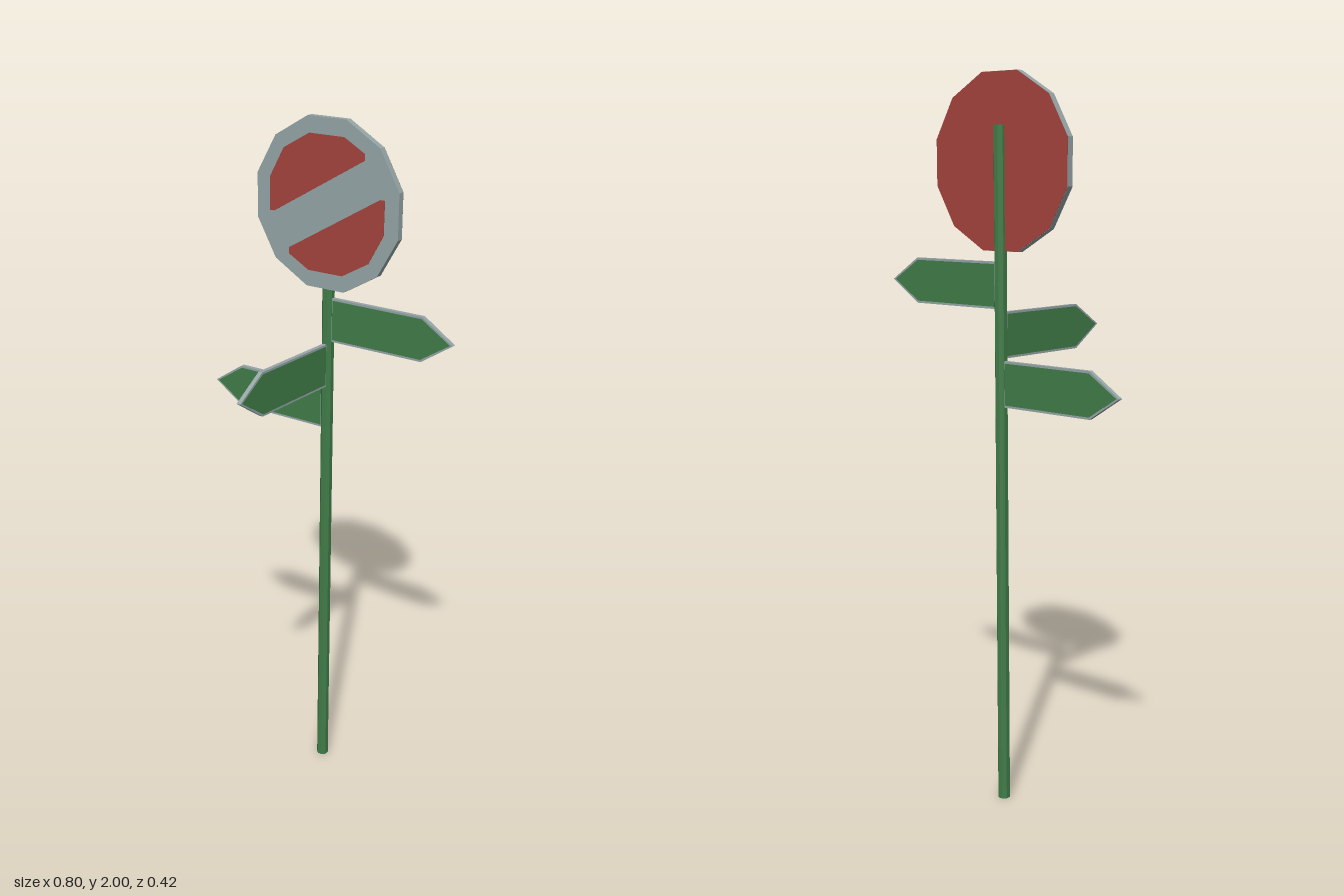
import * as THREE from 'three';

const mat = (name, color, extra = {}) =>
  Object.assign(new THREE.MeshStandardMaterial({ color }), { name, ...extra });

const POLE_Z = -0.19;

// Flat polygon from corner pairs
const polygon = (pts) => new THREE.Shape(pts.map(([x, y]) => new THREE.Vector2(x, y)));

// Extruded plate centred on z = 0
function plate(name, pts, depth, material) {
  const geo = new THREE.ExtrudeGeometry(polygon(pts), { depth, bevelEnabled: false });
  geo.translate(0, 0, -depth / 2);
  const mesh = new THREE.Mesh(geo, material);
  mesh.name = name;
  return mesh;
}

// Arrow outline pointing along +x, shrunk by an inset
const arrow = (i) => [
  [0.012 + i, -0.0625 + i], [0.305 - i * 0.3, -0.0625 + i], [0.4 - i * 1.4, 0],
  [0.305 - i * 0.3, 0.0625 - i], [0.012 + i, 0.0625 - i],
];

export function createModel() {
  const green = mat('green', 0x407c48);
  const grey = mat('grey', 0x95a5a6);
  const red = mat('red', 0xa5433c);
  const model = new THREE.Group();
  model.name = 'signpost';

  // Octagonal pole
  const poleGeo = new THREE.CylinderGeometry(0.0175, 0.0175, 1.865, 8).rotateY(Math.PI / 8).toNonIndexed();
  poleGeo.computeVertexNormals();
  const pole = new THREE.Mesh(poleGeo, green);
  pole.name = 'pole';
  pole.position.set(0, 1.865 / 2, POLE_Z);
  model.add(pole);

  // Arrow boards: grey core with a green face on both sides
  const boards = [
    ['leftArrow', 1.45, 0.01],
    ['frontArrow', 1.318, -Math.PI / 2 - 0.007],
    ['rightArrow', 1.188, Math.PI + 0.007],
  ];
  for (const [name, y, angle] of boards) {
    const board = new THREE.Group();
    board.name = name;
    board.add(plate('arrowCore', arrow(0), 0.0125, grey));
    board.add(plate('arrowFaces', arrow(0.006), 0.0137, green));
    board.position.set(0, y, POLE_Z);
    board.rotation.y = angle;
    model.add(board);
  }

  // Twelve-sided disc with a red back
  const disc = new THREE.Group();
  disc.name = 'roundSign';
  disc.position.set(0.001, 1.77, -0.18);
  const ring = (r) => Array.from({ length: 12 }, (_, i) => {
    const a = (i + 0.5) * Math.PI / 6;
    return [r * Math.cos(a), r * Math.sin(a)];
  });
  disc.add(plate('discCore', ring(0.238), 0.019, grey));
  const back = plate('discBack', ring(0.2375), 0.001, red);
  back.position.z = -0.01;
  disc.add(back);

  // Two red segments leaving a slanted grey bar
  const segment = [
    [-0.172, -0.037], [0.122, 0.132], [0.122, 0.149], [0.056, 0.185],
    [-0.056, 0.185], [-0.14, 0.138], [-0.186, 0.056], [-0.187, -0.037],
  ];
  for (const [name, turn] of [['upperSegment', 0], ['lowerSegment', Math.PI]]) {
    const half = plate(name, segment, 0.001, red);
    half.position.z = 0.01;
    half.rotation.z = turn;
    disc.add(half);
  }
  model.add(disc);
  return model;
}
